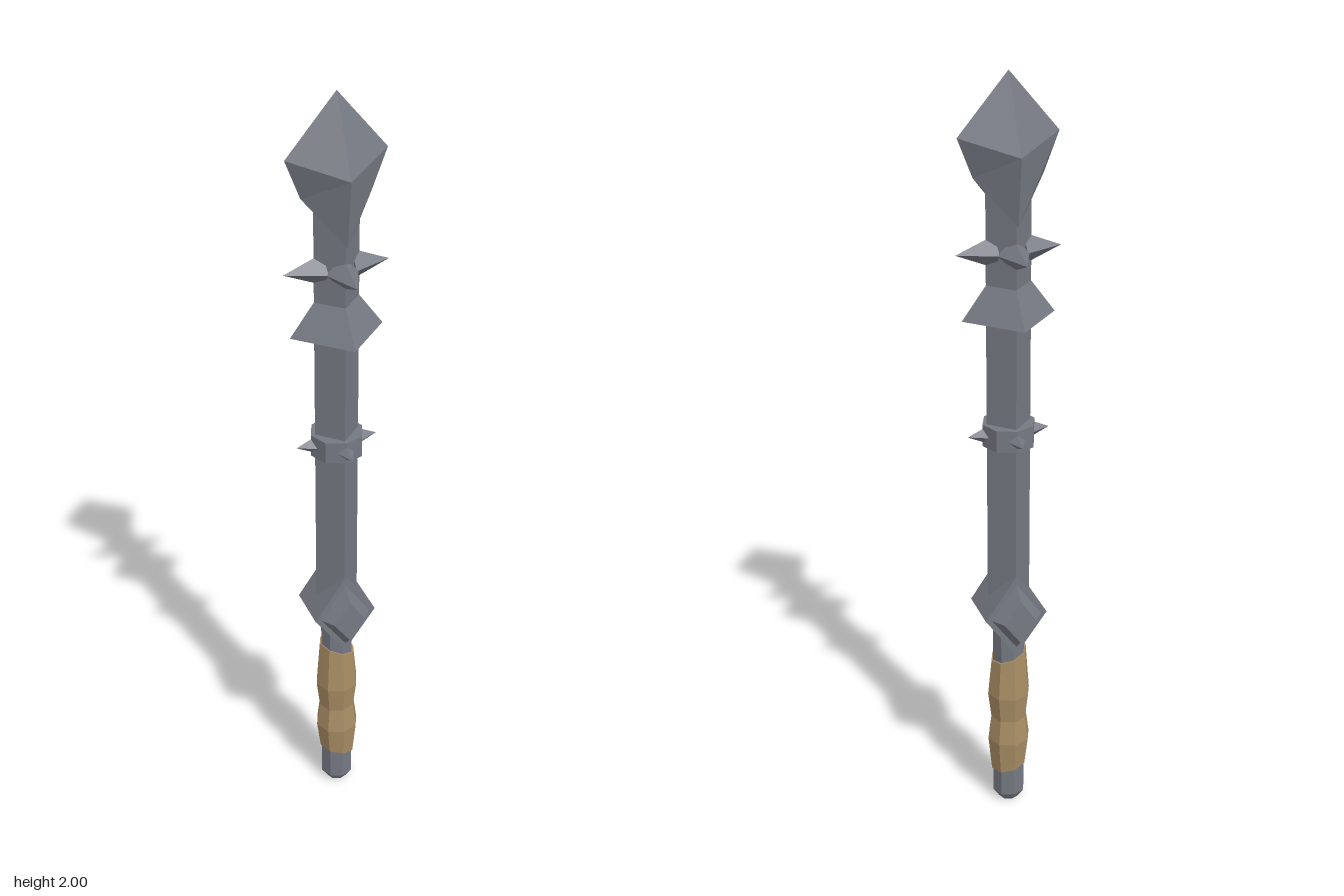
import * as THREE from 'three';

const steel = new THREE.MeshStandardMaterial({ color: 0x757982, flatShading: true });
steel.name = 'steel';
const leather = new THREE.MeshStandardMaterial({ color: 0xa88d64, flatShading: true });
leather.name = 'leather';

// Skin a list of equal-length rings of [x, y, z]; collapsed end rings close the solid
function loft(rings) {
  const pos = [];
  for (let r = 0; r + 1 < rings.length; r++) {
    const a = rings[r], b = rings[r + 1], n = a.length;
    for (let i = 0; i < n; i++) {
      const j = (i + 1) % n;
      pos.push(...a[i], ...a[j], ...b[j], ...a[i], ...b[j], ...b[i]);
    }
  }
  const g = new THREE.BufferGeometry();
  g.setAttribute('position', new THREE.Float32BufferAttribute(pos, 3));
  g.computeVertexNormals();
  return g;
}

// Diamond ring around the shaft, with separate heights for the side and front corners
const ringY = (x, yx, z, yz) => [[x, yx, 0], [0, yz, -z], [-x, yx, 0], [0, yz, z]];
// Upright diamond ring facing +z
const ringZ = (z, s) => [[0.083 * s, 0.61, z], [0, 0.61 + 0.12 * s, z],
  [-0.083 * s, 0.61, z], [0, 0.61 - 0.115 * s, z]];

const lathe = (points, sides) =>
  new THREE.LatheGeometry(points.map(([r, y]) => new THREE.Vector2(r, y)), sides);

export function createModel() {
  const group = new THREE.Group();
  const add = (name, geometry, material = steel, parent = group) => {
    const mesh = new THREE.Mesh(geometry, material);
    mesh.name = name;
    parent.add(mesh);
    return mesh;
  };

  // Handle with chamfered ends
  add('handle', lathe([[0, 0], [0.028, 0], [0.044, 0.025], [0.044, 0.54], [0.03, 0.56], [0, 0.56]], 8));

  // Wavy grip wrap with slanted ends
  const grip = lathe([[0.04, 0.11], [0.048, 0.11], [0.058, 0.2], [0.049, 0.27],
    [0.058, 0.345], [0.048, 0.465], [0.04, 0.465]], 8);
  const p = grip.attributes.position;
  for (let i = 0; i < p.count; i++) {
    const y = p.getY(i);
    if (y > 0.4) p.setY(i, y - p.getX(i) * 0.35);
    if (y < 0.15) p.setY(i, y - p.getX(i) * 0.25);
  }
  grip.computeVertexNormals();
  add('grip', grip, leather);

  // Faceted guard block between handle and shaft
  add('guardBlock', loft([ringZ(-0.095, 0), ringZ(-0.095, 0.52), ringZ(-0.063, 0.8), ringZ(-0.063, 1),
    ringZ(0.063, 1), ringZ(0.063, 0.8), ringZ(0.095, 0.52), ringZ(0.095, 0)]));

  // Diamond-section shaft
  const shaft = new THREE.CylinderGeometry(0.057, 0.057, 1.22, 4);
  shaft.translate(0, 1.21, 0);
  add('shaft', shaft);

  // Flared skirt
  const skirt = new THREE.CylinderGeometry(0.056, 0.118, 0.085, 4);
  skirt.translate(0, 1.4575, 0);
  add('flaredSkirt', skirt);

  // Lower collar band
  const band = new THREE.CylinderGeometry(0.068, 0.068, 0.058, 8);
  band.translate(0, 1.11, 0);
  add('collarBand', band);

  // Four spikes on each collar
  for (const [name, y, base, inner, tip] of [
    ['lowerSpikes', 1.11, 0.026, 0.05, 0.106],
    ['upperSpikes', 1.58, 0.04, 0.035, 0.132],
  ]) {
    const collar = new THREE.Group();
    collar.name = name;
    collar.position.y = y;
    group.add(collar);
    for (let i = 0; i < 4; i++) {
      const spike = new THREE.ConeGeometry(base, tip - inner, 4);
      spike.rotateX(Math.PI / 2);
      spike.translate(0, 0, (tip + inner) / 2);
      add('spike', spike, steel, collar).rotation.y = i * Math.PI / 2;
    }
  }

  // Pointed head, notched at its sides
  add('head', loft([ringY(0, 1.76, 0, 1.76), ringY(0.087, 1.76, 0.07, 1.655),
    ringY(0.124, 1.855, 0.09, 1.82), ringY(0, 2, 0, 2)]));

  return group;
}
